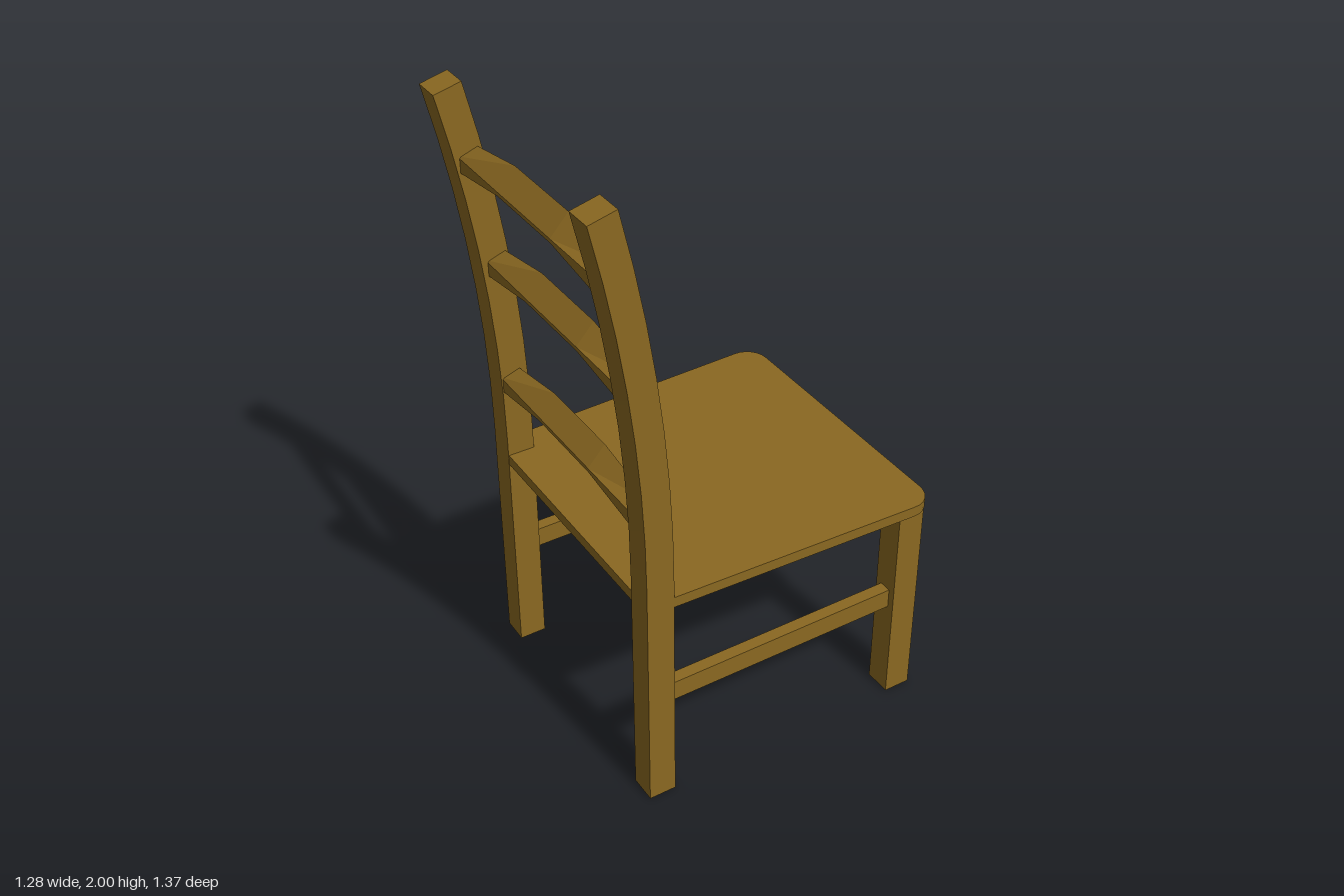
import * as THREE from 'three';
import { toCreasedNormals } from 'three/addons/utils/BufferGeometryUtils.js';

const TURN = THREE.MathUtils.degToRad(23); // the chair stands turned on its base
const POST = 0.087;                        // post and leg thickness
const SIDE = 0.414;                        // post and leg centre from the middle
const BACK = 0.368;                        // back post centre
const BEND_START = 0.8, BEND_RADIUS = 4.92, BEND_ANGLE = 0.2435;

export function createModel() {
  const wood = new THREE.MeshStandardMaterial({ color: 0x8a6821 });
  wood.name = 'oakWood';

  const model = new THREE.Group();
  model.name = 'chair';
  const frame = new THREE.Group();
  frame.name = 'chairFrame';
  frame.rotation.y = -TURN;
  frame.position.set(-0.0055, 0, -0.0025);
  model.add(frame);

  const add = (name, geometry, x = 0, y = 0, z = 0) => {
    const mesh = new THREE.Mesh(geometry, wood);
    mesh.name = name;
    mesh.position.set(x, y, z);
    frame.add(mesh);
  };

  // Legs, side rails and back posts, mirrored
  for (const [label, s] of [['left', 1], ['right', -1]]) {
    add(`${label}BackPost`, postGeometry(), s * SIDE, 0, BACK);
    add(`${label}FrontLeg`, new THREE.BoxGeometry(POST, 0.71, POST), s * SIDE, 0.355, -0.502);
    add(`${label}SideRail`, new THREE.BoxGeometry(0.04, 0.066, 0.8), s * SIDE, 0.368, -0.067);
  }

  add('seat', seatGeometry(), 0, 0.745, 0);

  // Arched back slats: height and depth of the straight rear edge
  [[1.025, 0.412], [1.432, 0.433], [1.775, 0.494]].forEach(([y, z], i) =>
    add(`backSlat${i + 1}`, slatGeometry(), 0, y, z));

  return model;
}

// Square post, straight at the bottom and curving backwards above the seat
function postGeometry() {
  const rows = 8;
  const geometry = new THREE.BoxGeometry(POST, rows, POST, 1, rows, 1);
  const p = geometry.attributes.position;
  for (let i = 0; i < p.count; i++) {
    const row = Math.round(p.getY(i) + rows / 2);
    const depth = p.getZ(i);
    if (row === 0) {
      p.setY(i, 0);
      continue;
    }
    const a = BEND_ANGLE * (row - 1) / (rows - 1);
    p.setY(i, BEND_START + BEND_RADIUS * Math.sin(a) - depth * Math.sin(a));
    p.setZ(i, BEND_RADIUS * (1 - Math.cos(a)) + depth * Math.cos(a));
  }
  return toCreasedNormals(geometry, 0.5);
}

// Tapered board with two rounded front corners
function seatGeometry() {
  const front = -0.562, back = 0.41, wide = 0.488, narrow = 0.454, r = 0.075;
  const shape = new THREE.Shape();
  shape.moveTo(-narrow, back);
  shape.lineTo(-wide + 0.003, front + r);
  shape.bezierCurveTo(-wide, front + r * 0.45, -wide + r * 0.45, front, -wide + r, front);
  shape.lineTo(wide - r, front);
  shape.bezierCurveTo(wide - r * 0.45, front, wide, front + r * 0.45, wide - 0.003, front + r);
  shape.lineTo(narrow, back);
  const geometry = new THREE.ExtrudeGeometry(shape, { depth: 0.035, bevelEnabled: false, curveSegments: 6 });
  geometry.rotateX(Math.PI / 2);
  return toCreasedNormals(geometry, 0.6);
}

// Slat in three straight runs: the rear top edge is level, the other edges arch
function slatGeometry() {
  const stations = [-0.39, -0.145, 0.145, 0.39];
  const geometry = new THREE.BoxGeometry(3, 1, 1, 3, 1, 1);
  const p = geometry.attributes.position;
  for (let i = 0; i < p.count; i++) {
    const k = Math.round(p.getX(i) + 1.5);
    const middle = k === 1 || k === 2;
    const top = p.getY(i) > 0, rear = p.getZ(i) > 0;
    let y;
    if (top && rear) y = 0;
    else if (top) y = middle ? 0.062 : 0.02;
    else y = middle ? -0.012 : -0.047;
    p.setXYZ(i, stations[k], y, rear ? 0 : -0.056);
  }
  return toCreasedNormals(geometry, 0.1);
}
